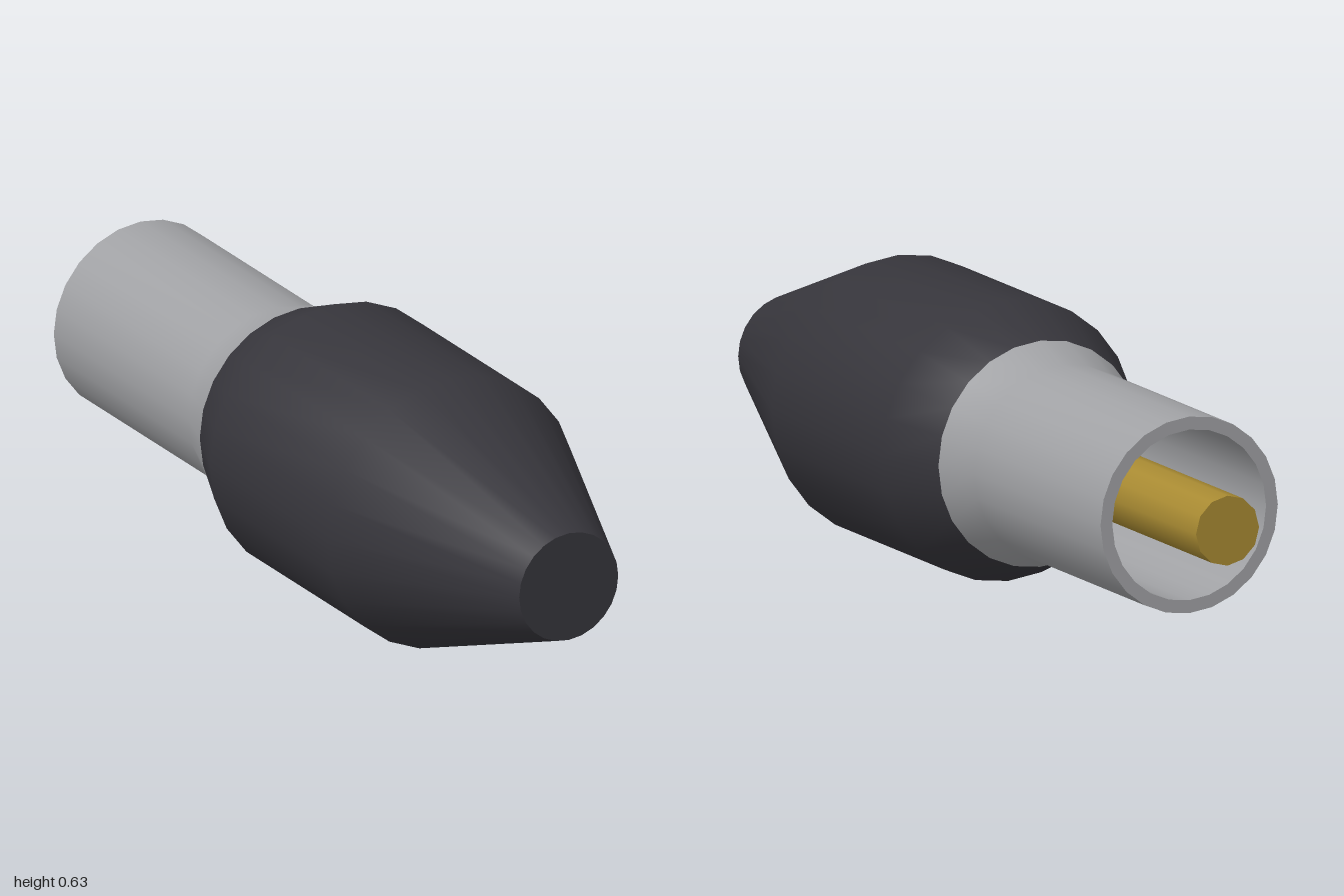
import * as THREE from 'three';

const SIDES = 24;
const CENTRE_Y = 0.313;

const rubber = new THREE.MeshStandardMaterial({ color: 0x36353b });
rubber.name = 'black rubber';
const metal = new THREE.MeshStandardMaterial({ color: 0xa0a1a4 });
metal.name = 'grey metal';
const brass = new THREE.MeshStandardMaterial({ color: 0xa88a32 });
brass.name = 'brass';

// Surface of revolution about the z axis; profile is [radius, z] with z rising for outward faces
function turned(name, profile, material, sides = SIDES) {
  const points = profile.map(([r, z]) => new THREE.Vector2(r, z));
  const geometry = new THREE.LatheGeometry(points, sides);
  geometry.rotateX(Math.PI / 2);
  const mesh = new THREE.Mesh(geometry, material);
  mesh.name = name;
  mesh.position.y = CENTRE_Y;
  return mesh;
}

export function createModel() {
  const model = new THREE.Group();
  model.name = 'plug';

  // Tapered grip with a flat nose
  model.add(
    turned('grip', [[0.252, -0.147], [0.313, 0], [0.313, 0.5], [0.125, 1]], rubber),
    turned('gripNose', [[0.125, 1], [0, 1]], rubber),
  );

  // Hollow sleeve: outer wall, rim, bore wall and bore floor
  model.add(
    turned('sleeveOuter', [[0.219, -0.825], [0.219, -0.25], [0.252, -0.147]], metal),
    turned('sleeveRim', [[0.19, -0.825], [0.219, -0.825]], metal),
    turned('sleeveBore', [[0.19, -0.25], [0.19, -0.825]], metal),
    turned('boreFloor', [[0, -0.25], [0.19, -0.25]], metal),
  );

  // Centre pin standing out of the bore
  model.add(
    turned('pin', [[0.078, -1], [0.078, -0.25]], brass, 12),
    turned('pinTip', [[0, -1], [0.078, -1]], brass, 12),
  );

  return model;
}
